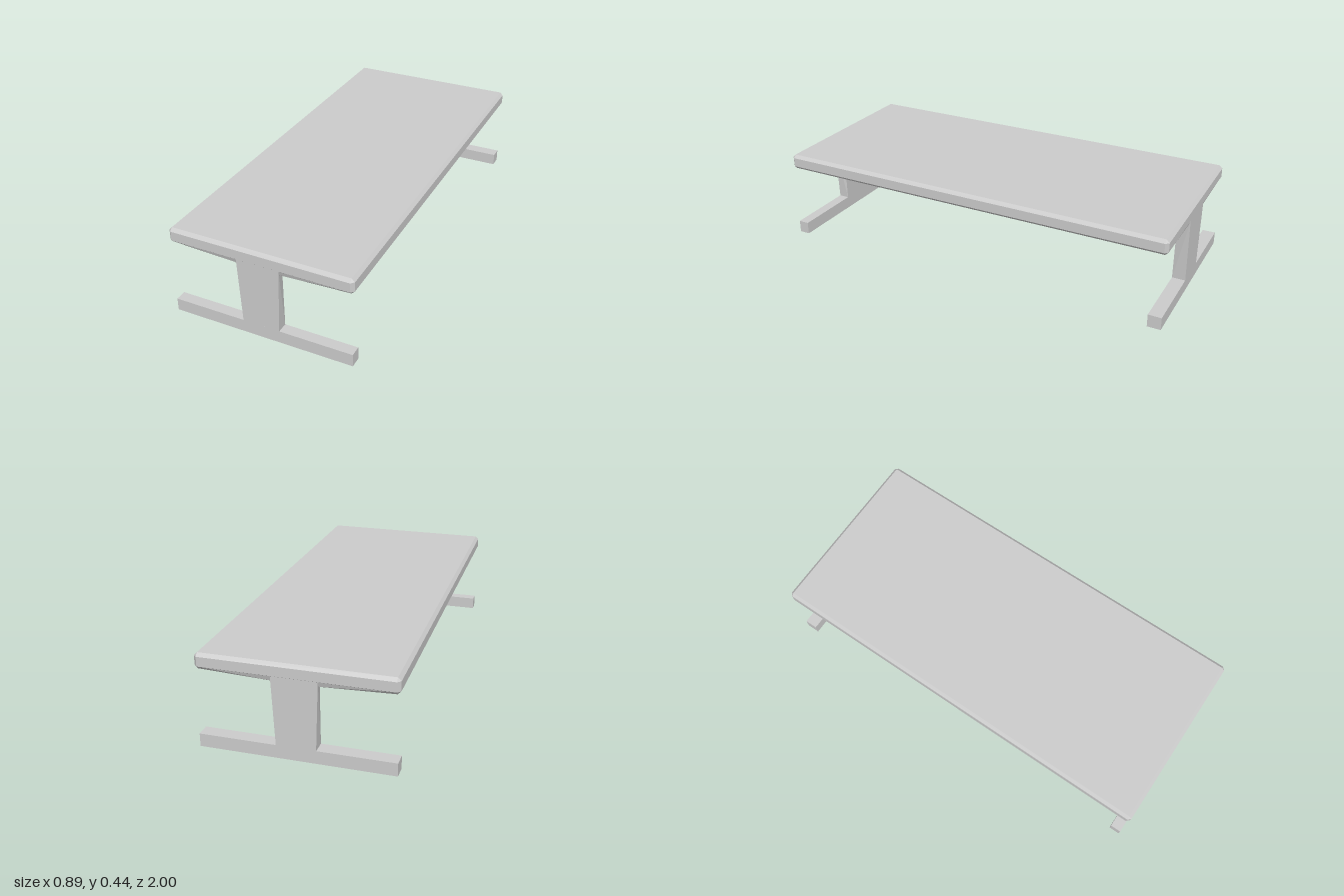
import * as THREE from 'three';
import { ConvexGeometry } from 'three/addons/geometries/ConvexGeometry.js';

const material = new THREE.MeshStandardMaterial({ color: 0xcccccc, flatShading: true });

function addMesh(parent, name, geometry) {
  const mesh = new THREE.Mesh(geometry, material);
  mesh.name = name;
  parent.add(mesh);
  return mesh;
}

const convex = (points) => new ConvexGeometry(points.map((p) => new THREE.Vector3(...p)));

// Box with every edge and corner chamfered by b
function chamferedBox(hx, hy, hz, b) {
  const points = [];
  for (const x of [-1, 1]) for (const y of [-1, 1]) for (const z of [-1, 1]) {
    points.push(
      [x * hx, y * (hy - b), z * (hz - b)],
      [x * (hx - b), y * hy, z * (hz - b)],
      [x * (hx - b), y * (hy - b), z * hz]
    );
  }
  return convex(points);
}

// T-shaped end support at +z, with its inner face at the given z
function createSupport(name, inner) {
  const support = new THREE.Group();
  support.name = name;

  const depth = 1 - inner;
  const foot = addMesh(support, 'foot', new THREE.BoxGeometry(0.886, 0.062, depth));
  foot.position.set(0, 0.031, inner + depth / 2);

  // Column leaning slightly inwards on its outer face
  const column = [];
  for (const x of [-0.09, 0.09]) {
    column.push([x, 0.06, inner], [x, 0.06, 1], [x, 0.36, inner], [x, 0.36, 0.991],
      [x, 0.385, inner], [x * 1.15, 0.385, 0.999]);
  }
  addMesh(support, 'column', convex(column));

  // Shallow wedges blending the column into the underside of the top
  for (const s of [-1, 1]) {
    addMesh(support, 'wedge', convex([
      [s * 0.09, 0.36, inner], [s * 0.09, 0.36, 0.991],
      [s * 0.09, 0.385, inner], [s * 0.09, 0.385, 0.999],
      [s * 0.43, 0.37, 0.985], [s * 0.43, 0.385, 0.999], [s * 0.43, 0.385, 0.98]
    ]));
  }
  return support;
}

export function createModel() {
  const table = new THREE.Group();
  table.name = 'table';

  const top = addMesh(table, 'tableTop', chamferedBox(0.447, 0.0375, 1, 0.015));
  top.position.y = 0.4075;

  const front = createSupport('frontSupport', 0.947);
  const back = createSupport('backSupport', 0.936);
  back.rotation.y = Math.PI;
  table.add(front, back);

  return table;
}
